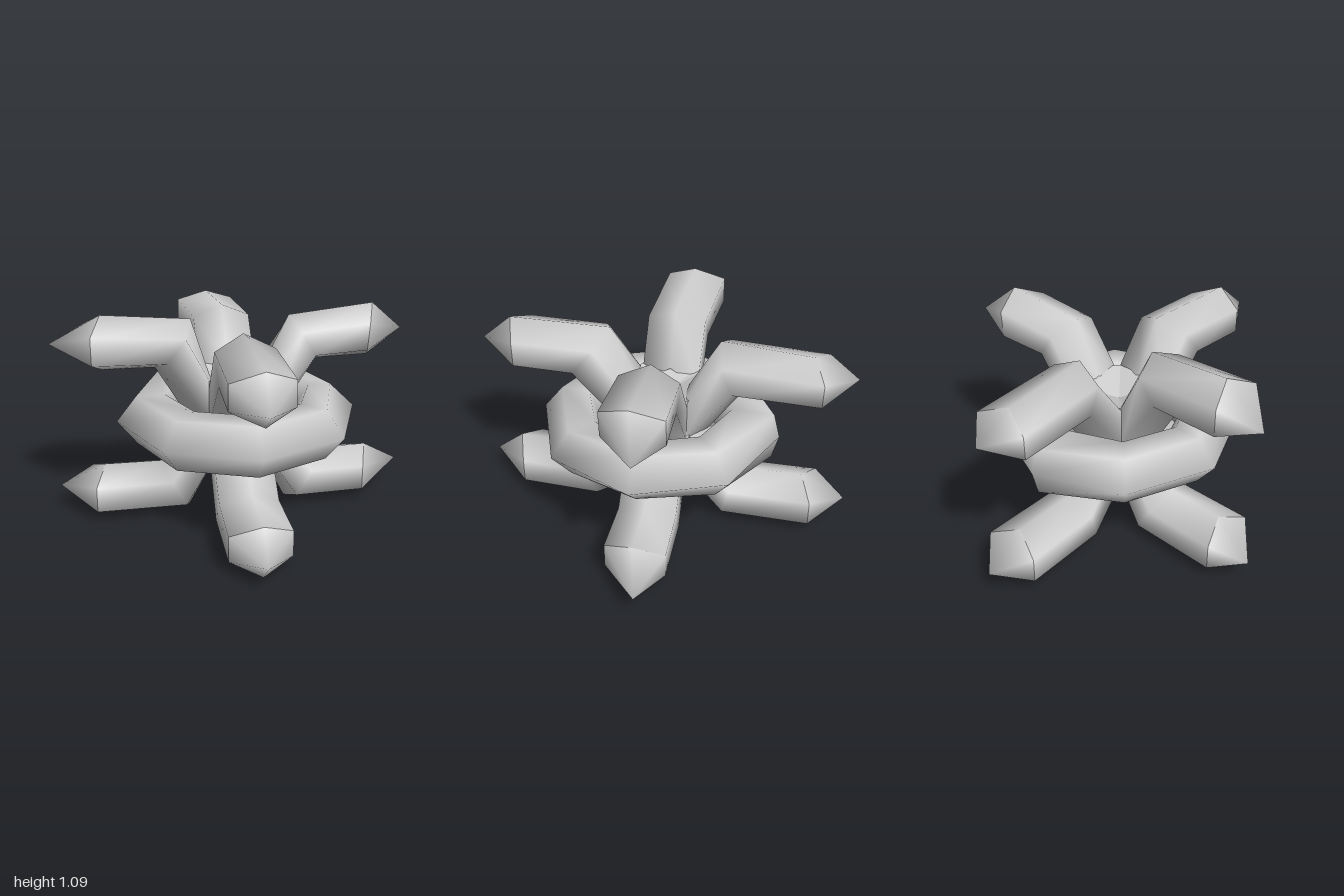
import * as THREE from 'three';
import { mergeVertices } from 'three/addons/utils/BufferGeometryUtils.js';

const material = new THREE.MeshStandardMaterial({ color: 0xcccccc });
const SIDES = 6;

// Skin a row of hexagonal sections:
// { top: [x, y], bottom: [x, y], w: half width, z: sideways offset, lean: push of the side corners along x }
function loft(sections) {
  const pos = [], index = [];
  for (const { top, bottom, w, z, lean = 0 } of sections) {
    for (let j = 0; j < SIDES; j++) {
      const t = (j / SIDES) * Math.PI * 2;
      const k = (1 + Math.cos(t)) / 2;
      const s = Math.sin(t) / Math.sin(Math.PI / 3);
      pos.push(
        bottom[0] + (top[0] - bottom[0]) * k + lean * s * s,
        bottom[1] + (top[1] - bottom[1]) * k,
        z + w * s
      );
    }
  }
  for (let i = 0; i < sections.length - 1; i++) {
    for (let j = 0; j < SIDES; j++) {
      const a = i * SIDES + j, b = i * SIDES + ((j + 1) % SIDES);
      index.push(a, b, a + SIDES, b, b + SIDES, a + SIDES);
    }
  }
  const geo = new THREE.BufferGeometry();
  geo.setAttribute('position', new THREE.Float32BufferAttribute(pos, 3));
  geo.setIndex(index);
  const merged = mergeVertices(geo);
  merged.computeVertexNormals();
  return merged;
}

// Bent arm pointing along local +x, with a separate pointed tip
function makeArm(name, { base, elbow, end, tip }, side, tipShift, lean) {
  const root = { top: base[0], bottom: base[1], w: 0.153, z: side * 0.01, lean: -0.04 };
  const bend = { top: elbow[0], bottom: elbow[1], w: 0.154, z: side * 0.013 };
  const last = { top: end[0], bottom: end[1], w: 0.159, z: side * 0.024, lean };
  const point = { top: tip, bottom: tip, w: 0, z: side * tipShift };
  const arm = new THREE.Group();
  arm.name = name;
  const body = new THREE.Mesh(loft([root, bend, last]), material);
  body.name = 'armTube';
  const cone = new THREE.Mesh(loft([last, point]), material);
  cone.name = 'armTip';
  arm.add(body, cone);
  return arm;
}

export function createModel() {
  const model = new THREE.Group();
  model.name = 'spikedRingOrnament';

  // Central block: square column with narrow chamfers and dished ends
  const coreGeo = new THREE.CylinderGeometry(0.2, 0.2, 0.48, 8, 1).toNonIndexed();
  coreGeo.rotateY(Math.PI / 8);
  const p = coreGeo.attributes.position;
  for (let i = 0; i < p.count; i++) {
    const x = p.getX(i), z = p.getZ(i);
    if (Math.hypot(x, z) < 0.1) {
      p.setY(i, p.getY(i) * 0.7);
    } else {
      const wide = Math.abs(x) > Math.abs(z);
      p.setX(i, Math.sign(x) * (wide ? 0.165 : 0.14));
      p.setZ(i, Math.sign(z) * (wide ? 0.14 : 0.165));
    }
  }
  coreGeo.computeVertexNormals();
  const core = new THREE.Mesh(coreGeo, material);
  core.name = 'core';
  core.position.set(-0.01, 0.52, -0.01);
  model.add(core);

  // Eight-sided horizontal ring: outer edge drawn out, left bevel longer, back bevel steeper
  const ringGeo = new THREE.TorusGeometry(0.463, 0.153, 6, 8);
  ringGeo.rotateX(Math.PI / 2);
  const r = ringGeo.attributes.position;
  for (let i = 0; i < r.count; i++) {
    const x = r.getX(i), z = r.getZ(i);
    const radius = Math.hypot(x, z);
    if (radius > 0.6) {
      r.setX(i, x * 1.045);
      r.setZ(i, z * 1.045);
    } else if (x > 0.5) {
      r.setX(i, 0.51);
    } else if (z < -0.5) {
      r.setZ(i, -0.61);
    }
  }
  const ring = new THREE.Mesh(ringGeo, material);
  ring.name = 'ring';
  ring.position.set(0.012, 0.523, 0.012);
  model.add(ring);

  // Four upper and four lower arms; each has slightly different joints
  const upperBase = [[0.14, 0.76], [0.22, 0.46]];
  const lowerBase = [[0.22, 0.58], [0.14, 0.28]];
  const arms = [
    { name: 'left', turn: 0, side: -1, tipShift: 0.085, lean: -0.055,
      upper: { elbow: [[0.29, 1.045], [0.44, 0.8]], end: [[0.75, 1.085], [0.73, 0.8]], tip: [0.94, 0.92] },
      lower: { elbow: [[0.44, 0.27], [0.28, 0]], end: [[0.745, 0.27], [0.745, 0]], tip: [0.955, 0.14] } },
    { name: 'right', turn: Math.PI, side: 1, tipShift: 0.085, lean: 0.06,
      upper: { elbow: [[0.23, 1.05], [0.42, 0.8]], end: [[0.69, 1.09], [0.69, 0.8]], tip: [0.955, 0.935] },
      lower: { elbow: [[0.4, 0.27], [0.25, 0]], end: [[0.7, 0.27], [0.7, 0]], tip: [0.94, 0.14] } },
    { name: 'front', turn: -Math.PI / 2, side: 1, tipShift: 0.04, lean: -0.06,
      upper: { elbow: [[0.28, 1.045], [0.5, 0.765]], end: [[0.83, 1.03], [0.83, 0.765]], tip: [1, 0.88] },
      lower: { elbow: [[0.5, 0.27], [0.29, 0]], end: [[0.83, 0.27], [0.83, 0]], tip: [0.99, 0.14] } },
    { name: 'back', turn: Math.PI / 2, side: -1, tipShift: 0.04, lean: 0.065,
      upper: { elbow: [[0.3, 1.04], [0.42, 0.755]], end: [[0.775, 1.005], [0.77, 0.755]], tip: [1, 0.9] },
      lower: { elbow: [[0.41, 0.27], [0.35, 0]], end: [[0.765, 0.27], [0.765, 0]], tip: [1, 0.14] } },
  ];
  for (const { name, turn, side, tipShift, lean, upper, lower } of arms) {
    const pair = new THREE.Group();
    pair.name = name + 'Arms';
    pair.add(
      makeArm(name + 'UpperArm', { base: upperBase, ...upper }, side, tipShift, lean),
      makeArm(name + 'LowerArm', { base: lowerBase, ...lower }, side, tipShift, lean)
    );
    pair.rotation.y = turn;
    model.add(pair);
  }
  return model;
}
